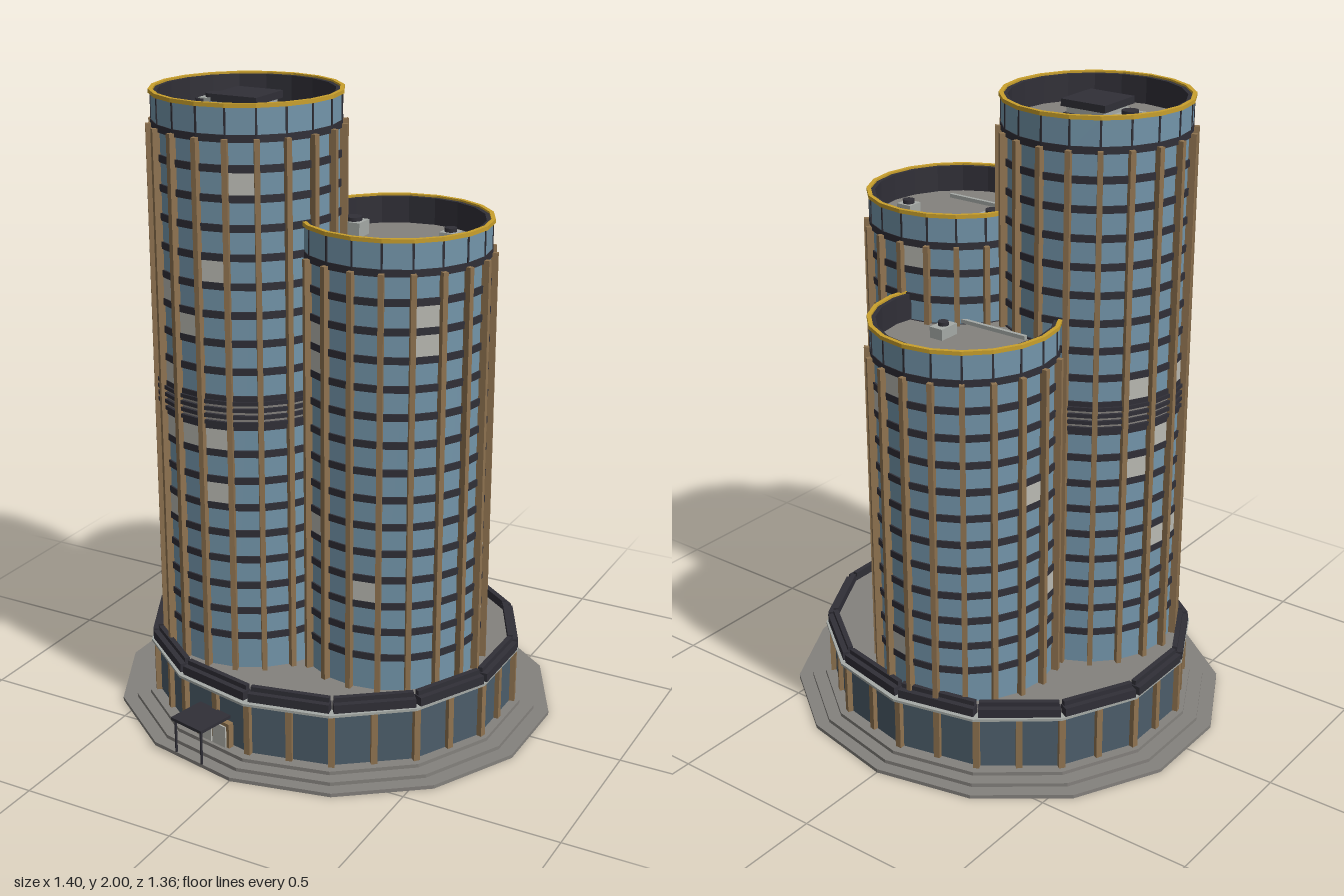
import * as THREE from 'three';

const mat = (name, color) => {
  const m = new THREE.MeshStandardMaterial({ color });
  m.name = name;
  return m;
};

export function createModel() {
  const M = {
    glass: mat('blue glass', 0x7395aa),
    podiumGlass: mat('dark podium glass', 0x4c5d6a),
    dark: mat('dark metal', 0x302f37),
    bronze: mat('bronze fins', 0x8f7350),
    gold: mat('gold trim', 0xc9a02c),
    concrete: mat('concrete', 0x84817d),
    light: mat('light grey metal', 0xa5aaa6),
    lit: mat('pale window blinds', 0xb9b9b2),
  };
  const model = new THREE.Group();
  const group = (name, parent) => {
    const g = new THREE.Group();
    g.name = name;
    parent.add(g);
    return g;
  };
  const add = (parent, name, geo, material, x = 0, y = 0, z = 0, ry = 0) => {
    const m = new THREE.Mesh(geo, material);
    m.name = name;
    m.position.set(x, y, z);
    m.rotation.y = ry;
    parent.add(m);
    return m;
  };
  const flat = (geo) => {
    const g = geo.toNonIndexed();
    g.computeVertexNormals();
    return g;
  };
  const box = (w, h, d) => new THREE.BoxGeometry(w, h, d);
  // Faceted prism between two heights, stretched to an ellipse
  const prism = (rx, rz, y0, y1, sides, open = false) =>
    flat(new THREE.CylinderGeometry(1, 1, y1 - y0, sides, 1, open).scale(rx, 1, rz).translate(0, (y0 + y1) / 2, 0));
  // Faceted square-section ring
  const ring = (ri, ro, y0, y1, sides) =>
    flat(new THREE.LatheGeometry([[ri, y0], [ro, y0], [ro, y1], [ri, y1], [ri, y0]].map((p) => new THREE.Vector2(...p)), sides));

  // ---------- Podium ----------
  const N = 14;
  const podium = group('podium', model);
  podium.position.z = -0.005;
  [[0.719, 0.677], [0.669, 0.637], [0.622, 0.598]].forEach(([rx, rz], i) =>
    add(podium, 'plinthStep', prism(rx, rz, i * 0.012, (i + 1) * 0.012, N), M.concrete));
  add(podium, 'podiumWall', prism(0.592, 0.558, 0.036, 0.216, N), M.podiumGlass);
  add(podium, 'cornice', prism(0.61, 0.592, 0.214, 0.222, N), M.light);
  add(podium, 'podiumRoof', prism(0.585, 0.548, 0.222, 0.235, N), M.concrete);

  // Parapet blocks, one per side with small gaps at the corners
  const corner = (k, rx, rz) => {
    const a = (k / N) * Math.PI * 2;
    return new THREE.Vector2(Math.sin(a) * rx, Math.cos(a) * rz);
  };
  const parapetRow = (rx, rz, y0, y1, depth) => {
    for (let k = 0; k < N; k++) {
      const p = corner(k, rx, rz), q = corner(k + 1, rx, rz);
      const d = q.clone().sub(p), mid = p.clone().add(q).multiplyScalar(0.5);
      const n = new THREE.Vector2(-d.y, d.x).normalize();
      mid.addScaledVector(n, -depth / 2);
      add(podium, 'parapetBlock', box(d.length() - 0.016, y1 - y0, depth), M.dark,
        mid.x, (y0 + y1) / 2, mid.y, Math.atan2(n.x, n.y));
    }
  };
  parapetRow(0.612, 0.577, 0.222, 0.25, 0.032);
  parapetRow(0.594, 0.559, 0.25, 0.265, 0.016);

  // Podium fins at every corner and mid-side
  for (let k = 0; k < N * 2; k++) {
    const a = (k / (N * 2)) * Math.PI * 2;
    const f = k % 2 ? Math.cos(Math.PI / N) : 1;
    add(podium, 'podiumFin', box(0.02, 0.184, 0.03), M.bronze,
      Math.sin(a) * 0.592 * f, 0.124, Math.cos(a) * 0.558 * f, a);
  }

  // ---------- Entrance ----------
  const entrance = group('entrance', model);
  entrance.position.set(-0.145, 0, 0.597);
  entrance.rotation.y = -Math.PI / N;
  add(entrance, 'canopy', box(0.13, 0.01, 0.128), M.dark, 0, 0.14, 0);
  for (const s of [-1, 1]) {
    add(entrance, 'canopyPost', new THREE.CylinderGeometry(0.004, 0.004, 0.112, 8), M.dark, s * 0.055, 0.08, 0.054);
    add(entrance, 'door', box(0.056, 0.072, 0.006), M.lit, s * 0.031, 0.072, -0.048);
  }
  add(entrance, 'doorFrame', box(0.14, 0.084, 0.02), M.bronze, 0, 0.077, -0.06);

  // ---------- Towers ----------
  const SIDES = 20, STEP = (Math.PI * 2) / SIDES, R = 0.28, Y0 = 0.26;
  let seed = 7;
  const rand = () => (seed = (seed * 16807) % 2147483647) / 2147483647;

  const tower = (name, x, z, top, floors, louvreFloor, blinds) => {
    const t = group(name, model);
    t.position.set(x, 0, z);
    const roofY = top - 0.1, fh = (roofY - Y0) / floors;
    add(t, 'glassWall', prism(R, R, 0.23, roofY, SIDES), M.glass);
    add(t, 'roofDeck', prism(0.272, 0.272, roofY, roofY + 0.012, SIDES), M.concrete);
    // Parapet: glass outside, dark lining, gold coping
    add(t, 'parapetGlass', prism(0.283, 0.283, roofY, top - 0.01, SIDES, true), M.glass);
    add(t, 'parapetLining', ring(0.264, 0.281, roofY, top - 0.006, SIDES), M.dark);
    add(t, 'goldCoping', ring(0.277, 0.29, top - 0.012, top, SIDES), M.gold);

    for (let f = 1; f <= floors; f++) {
      const y = Y0 + f * fh;
      add(t, 'spandrelBand', ring(0.27, 0.2855, y - 0.011, y + 0.011, SIDES), M.dark);
    }
    for (let j = 0; j < SIDES; j++) {
      const a = j * STEP, s = Math.sin(a), c = Math.cos(a);
      add(t, 'fin', box(0.016, roofY - 0.23, 0.028), M.bronze, s * 0.287, (roofY + 0.23) / 2, c * 0.287, a);
      add(t, 'parapetMullion', box(0.006, 0.09, 0.006), M.dark, s * 0.282, top - 0.055, c * 0.282, a);
    }
    // Pale blinds: listed [side, floor] pairs, plus a scatter on the rear sides
    const list = [...blinds];
    for (let j = 8; j < 17; j++) for (let f = 0; f < floors; f++) if (rand() < 0.045 && f !== louvreFloor) list.push([j, f]);
    for (const [j, f] of list) {
      const a = (j + 0.5) * STEP, r = R * Math.cos(STEP / 2) + 0.001;
      add(t, 'blindPanel', box(0.076, fh - 0.022, 0.005), M.lit, Math.sin(a) * r, Y0 + (f + 0.5) * fh, Math.cos(a) * r, a);
    }
    // Plant floor with louvres
    if (louvreFloor !== null) {
      const y = Y0 + louvreFloor * fh;
      add(t, 'plantFloorWall', ring(0.27, 0.283, y, y + fh, SIDES), M.concrete);
      for (let i = 0; i < 4; i++) {
        const ly = y + (i + 0.5) * fh / 4;
        add(t, 'louvre', ring(0.27, 0.292, ly - 0.006, ly + 0.006, SIDES), M.dark);
      }
    }
    // Roof pipe
    add(t, 'roofPipe', box(0.265, 0.012, 0.012), M.light, 0, roofY + 0.022, 0.121);
    return { t, deck: roofY + 0.012 };
  };

  // Rooftop fan unit, placed relative to the tower centre
  const fanUnit = ({ t, deck }, x, z, w, d, h = 0.035) => {
    add(t, 'fanUnit', box(w, h, d), M.light, x, deck + h / 2, z);
    add(t, 'fan', new THREE.CylinderGeometry(w * 0.36, w * 0.36, 0.012, 12), M.dark, x, deck + h + 0.006, z);
  };

  const tall = tower('tallTower', -0.21, 0.152, 2, 19, 9, [
    [1, 17], [0, 14], [-2, 13], [-1, 12], [-2, 10], [-2, 8], [-1, 8], [0, 8], [0, 6], [-2, 5], [6, 18], [7, 16]]);
  const middle = tower('middleTower', 0.245, 0.072, 1.65, 15, null, [
    [-2, 12], [-2, 11], [-2, 5], [0, 3], [2, 13], [2, 12], [5, 4], [5, 1], [6, 0]]);
  const low = tower('lowTower', -0.035, -0.262, 1.39, 12, null, [[6, 7], [4, 3], [4, 10]]);

  // Penthouse on the tall tower
  add(tall.t, 'penthouseBase', box(0.145, 0.03, 0.145), M.dark, 0, tall.deck + 0.015, 0);
  add(tall.t, 'penthouseBand', box(0.13, 0.02, 0.13), M.light, 0, tall.deck + 0.04, 0);
  add(tall.t, 'penthouseCap', box(0.155, 0.022, 0.155), M.dark, 0, tall.deck + 0.061, 0);

  fanUnit(tall, -0.127, -0.02, 0.07, 0.065, 0.045);
  fanUnit(tall, -0.158, 0.002, 0.05, 0.075, 0.03);
  fanUnit(middle, -0.162, -0.04, 0.07, 0.065, 0.045);
  fanUnit(middle, 0.135, -0.087, 0.052, 0.052);
  fanUnit(low, -0.14, -0.165, 0.052, 0.072);
  fanUnit(low, 0.089, 0.007, 0.046, 0.072);

  return model;
}
